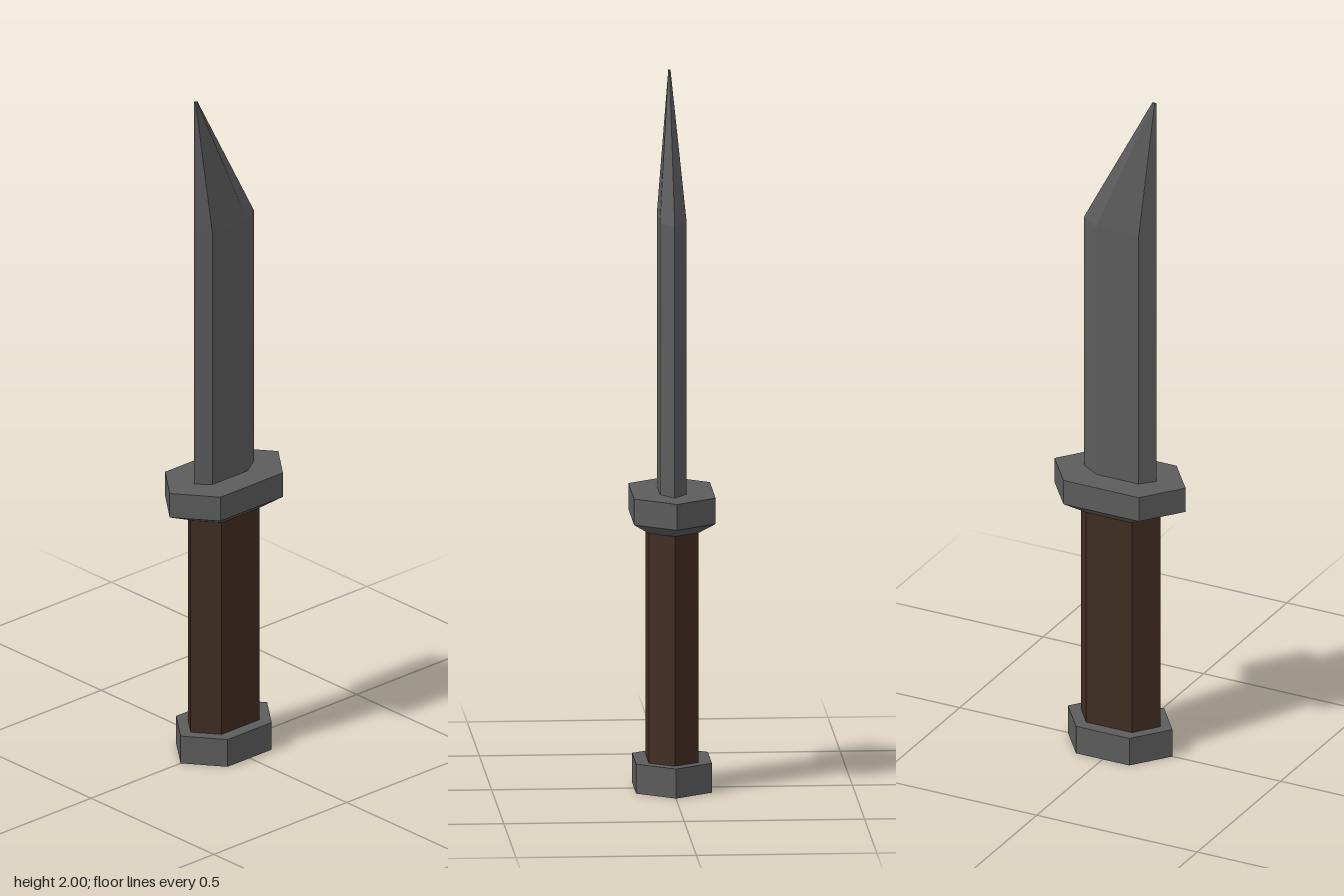
import * as THREE from 'three';

// Six-sided ring at height y: half width w, front and back ridges, side edges.
function ring(y, w, front, sideFront, sideBack, back) {
  return [
    [0, front], [w, sideFront], [w, sideBack],
    [0, back], [-w, sideBack], [-w, sideFront],
  ].map(([x, z]) => new THREE.Vector3(x, y, z));
}

// Closed, faceted solid through a stack of rings, bottom to top.
function loft(name, rings, material) {
  const pts = [];
  const n = rings[0].length;
  const top = rings[rings.length - 1];
  const bottom = rings[0];
  for (let r = 0; r < rings.length - 1; r++) {
    for (let i = 0; i < n; i++) {
      const j = (i + 1) % n;
      const a = rings[r][i], b = rings[r][j];
      const c = rings[r + 1][j], d = rings[r + 1][i];
      pts.push(a, b, c, a, c, d);
    }
  }
  for (let i = 1; i < n - 1; i++) {
    pts.push(top[0], top[i], top[i + 1]);
    pts.push(bottom[0], bottom[i + 1], bottom[i]);
  }
  const geometry = new THREE.BufferGeometry().setFromPoints(pts);
  geometry.computeVertexNormals();
  const mesh = new THREE.Mesh(geometry, material);
  mesh.name = name;
  return mesh;
}

export function createModel() {
  const steel = new THREE.MeshStandardMaterial({ color: 0x5c5c5c });
  steel.name = 'dark steel';
  const wood = new THREE.MeshStandardMaterial({ color: 0x402d22 });
  wood.name = 'dark wood';

  const knife = new THREE.Group();
  knife.name = 'knife';
  knife.add(
    // End cap below the grip
    loft('pommel', [
      ring(0, 0.105, 0.163, 0.083, -0.083, -0.163),
      ring(0.083, 0.105, 0.163, 0.083, -0.083, -0.163),
    ], steel),
    loft('grip', [
      ring(0.07, 0.069, 0.125, 0.072, -0.07, -0.122),
      ring(0.74, 0.069, 0.125, 0.072, -0.07, -0.122),
    ], wood),
    // Guard with a chamfered underside
    loft('guard', [
      ring(0.73, 0.07, 0.126, 0.073, -0.071, -0.123),
      ring(0.763, 0.113, 0.204, 0.117, -0.118, -0.205),
      ring(0.836, 0.113, 0.204, 0.117, -0.118, -0.205),
    ], steel),
    // Blade with its clipped point leaning to the front
    loft('blade', [
      ring(0.82, 0.037, 0.113, 0.077, -0.055, -0.113),
      ring(1.6, 0.037, 0.113, 0.077, -0.055, -0.113),
      ring(2, 0.003, 0.113, 0.109, 0.104, 0.1),
    ], steel),
  );
  return knife;
}
